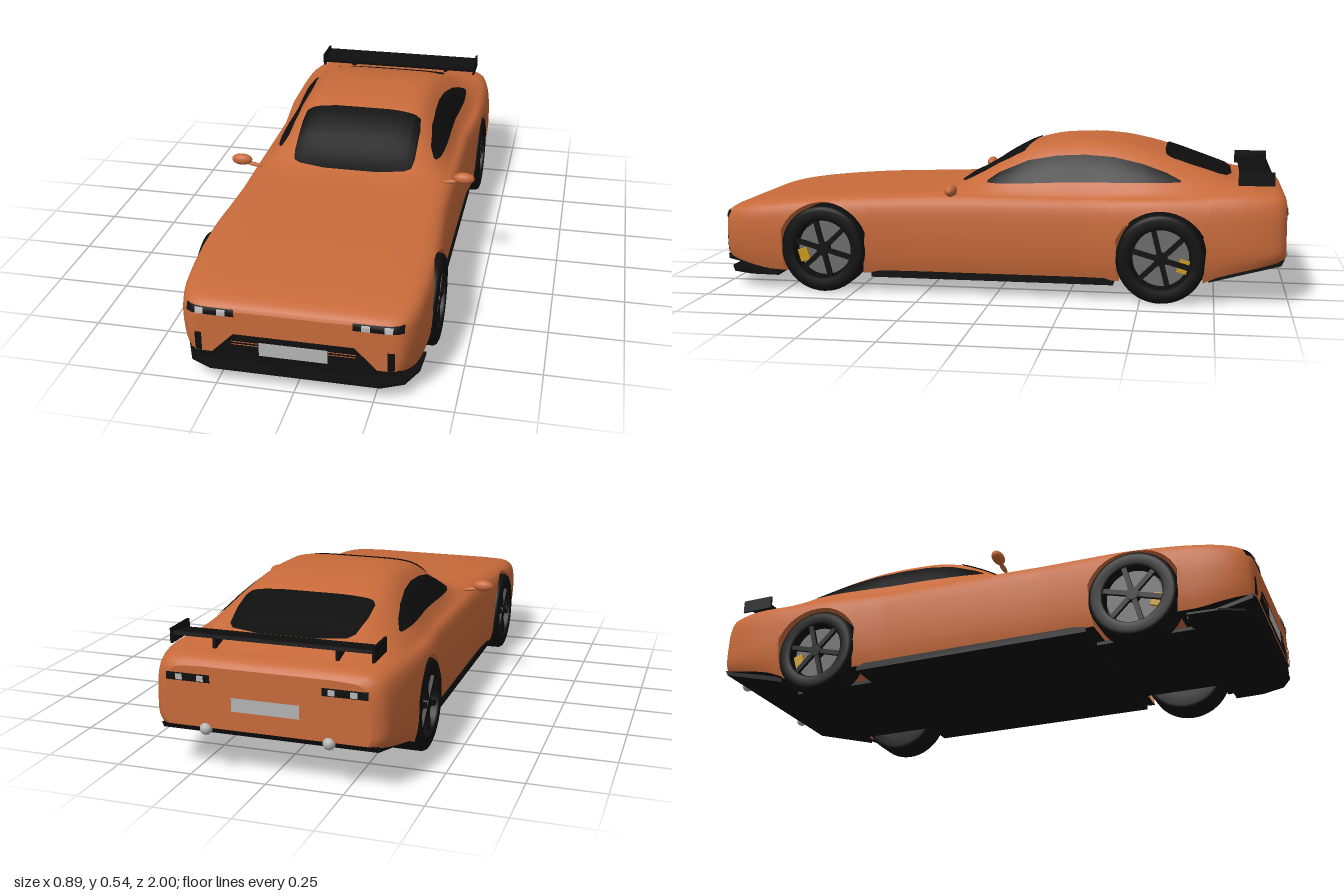
import * as THREE from 'three';

const mat = (name, color) => Object.assign(new THREE.MeshStandardMaterial({ color, side: THREE.DoubleSide }), { name });

// Smooth monotone interpolation through [z, value] pairs sorted by falling z
function track(pts) {
  const p = pts.slice().reverse(), n = p.length;
  const sec = i => (p[i + 1][1] - p[i][1]) / (p[i + 1][0] - p[i][0]);
  const tan = p.map((_, i) => {
    if (i === 0) return sec(0);
    if (i === n - 1) return sec(n - 2);
    const a = sec(i - 1), b = sec(i);
    return a * b <= 0 ? 0 : 2 * a * b / (a + b);
  });
  return z => {
    if (z <= p[0][0]) return p[0][1];
    if (z >= p[n - 1][0]) return p[n - 1][1];
    let i = 0;
    while (z > p[i + 1][0]) i++;
    const h = p[i + 1][0] - p[i][0], t = (z - p[i][0]) / h, t2 = t * t, t3 = t2 * t;
    return (2 * t3 - 3 * t2 + 1) * p[i][1] + (t3 - 2 * t2 + t) * h * tan[i]
      + (3 * t2 - 2 * t3) * p[i + 1][1] + (t3 - t2) * h * tan[i + 1];
  };
}

// Body rules along the length: half width, deck height, roof line, lower edge
const width = track([[.992, .31], [.985, .333], [.965, .352], [.93, .37], [.87, .384], [.75, .394], [.6, .398], [.42, .388],
  [.25, .38], [-.3, .381], [-.42, .392], [-.55, .404], [-.7, .405], [-.82, .4], [-.9, .388], [-.95, .374], [-.975, .355], [-.985, .335]]);
const deck = track([[.992, .262], [.985, .275], [.965, .288], [.93, .299], [.85, .314], [.7, .331], [.5, .345], [.3, .353],
  [.15, .358], [-.3, .365], [-.6, .374], [-.85, .386], [-.94, .379], [-.97, .368], [-.985, .35]]);
const cabin = track([[.24, 0], [.16, .012], [.08, .052], [0, .102], [-.1, .148], [-.2, .167], [-.3, .17], [-.4, .162],
  [-.5, .14], [-.6, .108], [-.7, .066], [-.8, .024], [-.9, 0]]);
const floorY = track([[.992, .112], [.9, .088], [.8, .07], [.7, .068], [-.7, .072], [-.74, .09], [-.97, .15], [-.985, .155]]);
// Half section: [fraction of width, fraction of deck height, fraction of cabin height]
const SECTION = [[1, 0, 0], [.997, .35, 0], [.985, .64, 0], [.95, .85, 0], [.88, .95, 0], [.8, .98, .25], [.72, .99, .52],
  [.63, 1, .76], [.54, 1, .92], [.42, 1, .985], [.22, 1, 1], [0, 1, 1]];
const ARCH_R = .165, WHEEL_Y = .152, FRONT = .61, REAR = -.57, N = 28;

function section(z) {
  const w = width(z), d = deck(z), c = cabin(z), f = floorY(z), mid = .19;
  return new THREE.SplineCurve([
    new THREE.Vector2(w * .955, f), new THREE.Vector2(w * .985, f + (mid - f) * .4),
    ...SECTION.map(([x, dy, g]) => new THREE.Vector2(w * x, mid + dy * (d - mid) + g * c))]);
}

function meshFrom(name, verts, index, material) {
  const g = new THREE.BufferGeometry();
  g.setAttribute('position', new THREE.Float32BufferAttribute(verts, 3));
  g.setIndex(index);
  g.computeVertexNormals();
  const m = new THREE.Mesh(g, material);
  m.name = name;
  return m;
}

// Stations from nose to tail; the lower edge follows each wheel arch
function stations() {
  const s = [], plain = z => s.push({ zb: z, zt: z, yb: 0 });
  const arch = c => {
    for (let i = 0; i <= 28; i++) {
      const k = i / 28, a = -.55 + k * (Math.PI + 1.1);
      s.push({ zb: c + ARCH_R * Math.cos(a), yb: WHEEL_Y + ARCH_R * Math.sin(a), zt: c + .172 * (1 - 2 * k), arch: i < 28 });
    }
  };
  [.992, .989, .985, .976, .965, .95, .93, .9, .87, .84, .81].forEach(plain);
  arch(FRONT);
  for (let z = .42; z > -.39; z -= .02) plain(z);
  arch(REAR);
  [-.76, -.79, -.82, -.85, -.88, -.9, -.92, -.94, -.955, -.965, -.975, -.981, -.985].forEach(plain);
  return s;
}

function buildBody(paint, black) {
  const group = new THREE.Group(), st = stations(), rings = [];
  group.name = 'body';
  for (const { zb, zt, yb } of st) {
    // find where the section reaches the lower edge
    const base = section(zb);
    let lo = 0, hi = .9;
    for (let k = 0; k < 22; k++) {
      const m = (lo + hi) / 2;
      if (base.getPoint(m).y < yb) lo = m; else hi = m;
    }
    const half = [];
    for (let j = 0; j <= N; j++) {
      const z = zb + (zt - zb) * Math.min(1, 2 * j / N), q = section(z).getPoint(lo + (1 - lo) * j / N);
      half.push([q.x, q.y, z]);
    }
    rings.push([...half, ...half.slice(0, N).reverse().map(([x, y, z]) => [-x, y, z])]);
  }
  const M = 2 * N + 1, index = [], under = [], liner = [], lower = [];
  rings.forEach((r, i) => {
    lower.push(...r[0], ...r[M - 1]);
    if (i === rings.length - 1) return;
    for (let j = 0; j < M - 1; j++) {
      const a = i * M + j, b = a + M;
      index.push(a, b, a + 1, a + 1, b, b + 1);
    }
    const l = 2 * i;
    (st[i].arch ? liner : under).push(l, l + 1, l + 2, l + 1, l + 3, l + 2);
  });
  const shell = meshFrom('bodyShell', rings.flat(2), index, paint);
  group.add(shell, meshFrom('underside', lower, under, black), meshFrom('archLiners', lower, liner, paint));
  // nose and tail faces
  [rings[0], rings[rings.length - 1]].forEach((r, i) => {
    const cap = new THREE.Mesh(new THREE.ShapeGeometry(new THREE.Shape(r.map(p => new THREE.Vector2(p[0], p[1])))), paint);
    cap.name = i ? 'tailFace' : 'noseFace';
    cap.position.z = r[0][2];
    if (i) cap.rotation.y = Math.PI;
    group.add(cap);
  });
  group.updateMatrixWorld(true);
  return group;
}

export function createModel() {
  const car = new THREE.Group();
  car.name = 'sportsCar';
  const paint = mat('orange paint', 0xc76a3a), black = mat('black', 0x0e0e0e), grey = mat('rim grey', 0x6c6c6c);
  const light = mat('light grey', 0xb4b4b4), yellow = mat('caliper yellow', 0xc99a1c);
  const body = buildBody(paint, black);
  car.add(body);
  const add = (name, geo, material, x = 0, y = 0, z = 0, parent = car) => {
    const m = new THREE.Mesh(geo, material);
    m.name = name;
    m.position.set(x, y, z);
    parent.add(m);
    return m;
  };
  const box = (w, h, d) => new THREE.BoxGeometry(w, h, d);

  // Thin plates laid on the body: columns are [u, v low, v high], cast from one side
  const caster = new THREE.Raycaster();
  const casts = {
    top: (u, v) => [[u, 2, v], [0, -1, 0]], front: (u, v) => [[u, v, 2], [0, 0, -1]], back: (u, v) => [[u, v, -2], [0, 0, 1]],
    left: (u, v) => [[2, v, u], [-1, 0, 0]], right: (u, v) => [[-2, v, u], [1, 0, 0]]
  };
  function plate(name, cols, side, material, lift = .004, sub = 4, rows = 8) {
    const verts = [], index = [];
    let last = new THREE.Vector3(), count = 0;
    for (let c = 0; c < cols.length; c++) {
      for (let k = 0; k < (c < cols.length - 1 ? sub : 1); k++, count++) {
        const [u, v0, v1] = cols[c].map((q, i) => q + ((cols[c + 1] || cols[c])[i] - q) * k / sub);
        for (let r = 0; r <= rows; r++) {
          const [o, d] = casts[side](u, v0 + (v1 - v0) * r / rows).map(a => new THREE.Vector3(...a));
          caster.set(o, d);
          const hit = caster.intersectObject(body, true)[0];
          if (hit) last = hit.point.clone().addScaledVector(d, -lift);
          verts.push(last.x, last.y, last.z);
          const a = count * (rows + 1) + r, b = a + rows + 1;
          if (r < rows && c < cols.length - 1) index.push(a, b, a + 1, a + 1, b, b + 1);
        }
      }
    }
    // turn the faces towards the side they were cast from
    if (side === 'top' || side === 'left' || side === 'back') index.reverse();
    car.add(meshFrom(name, verts, index, material));
  }
  const mirrored = half => [...half.map(([x, a, b]) => [-x, a, b]), ...half.slice().reverse()];

  // Glass
  plate('windshield', mirrored([[.222, -.03, .09], [.215, -.08, .13], [.19, -.09, .145], [.1, -.098, .16]]), 'top', black, .005);
  plate('rearWindow', mirrored([[.222, -.67, -.6], [.21, -.76, -.58], [.19, -.785, -.575], [.1, -.803, -.57]]), 'top', black, .005);
  const sideGlass = [[.04, .388, .395], [0, .386, .422], [-.1, .39, .464], [-.2, .395, .482], [-.3, .398, .487], [-.4, .4, .481],
    [-.5, .402, .461], [-.58, .404, .435], [-.63, .406, .412]];
  for (const side of ['left', 'right']) plate(side + 'Window', sideGlass, side, black, .005);

  // Nose details
  plate('grille', mirrored([[.26, .112, .114], [.19, .112, .185]]), 'front', black, .003);
  const rect = (x0, x1, y0, y1) => [[x0, y0, y1], [x1, y0, y1]];
  for (const s of [-1, 1]) {
    const r = (a, b, y0, y1) => s > 0 ? rect(a, b, y0, y1) : rect(-b, -a, y0, y1);
    plate('headlight', r(.185, .34, .246, .27), 'front', black, .003, 10, 4);
    plate('noseIntake', r(.292, .314, .115, .18), 'front', black, .003);
    plate('tailLight', r(.18, .325, .3, .325), 'back', black, .003, 10, 4);
    for (const x of [.225, .295]) {
      plate('headlightLens', r(x - .013, x + .013, .248, .268), 'front', light, .006);
      plate('tailLightLens', r(x - .025, x - .003, .303, .322), 'back', light, .006);
    }
    for (const y of [.15, .159]) plate('grilleBar', r(.11, .195, y, y + .003), 'front', paint, .005, 1, 1);
  }
  plate('frontPlate', rect(-.108, .108, .12, .167), 'front', light, .007, 2, 2);
  plate('rearPlate', rect(-.11, .11, .218, .262), 'back', light, .005, 2, 2);

  // Black lower trim, given as side profiles [z, y]
  const sideProfile = (name, pts, w) => {
    const g = new THREE.ExtrudeGeometry(new THREE.Shape(pts.map(([z, y]) => new THREE.Vector2(-z, y))), { depth: w, bevelEnabled: false });
    add(name, g.translate(0, 0, -w / 2).rotateY(Math.PI / 2), black);
  };
  sideProfile('chin', [[.77, .06], [.77, .082], [.985, .113], [.985, .095], [.9, .075]], .66);
  sideProfile('diffuser', [[-.73, .07], [-.97, .135], [-.98, .155], [-.73, .096]], .7);
  add('floorPanel', box(.5, .012, 1.66), black, 0, .063, .11);
  add('sills', box(.745, .024, .85), black, 0, .066, .015);
  const lip = new THREE.Shape([[-.38, .78], [-.375, .88], [-.34, .96], [-.27, .995], [.27, .995], [.34, .96], [.375, .88], [.38, .78]]
    .map(p => new THREE.Vector2(...p)));
  add('splitter', new THREE.ExtrudeGeometry(lip, { depth: .007, bevelEnabled: false }).rotateX(Math.PI / 2), black, 0, .057, 0);

  // Rear wing
  add('wingBlade', box(.65, .012, .105), black, 0, .424, -.883).rotation.x = .15;
  for (const s of [-1, 1]) {
    add('wingEndplate', box(.008, .047, .12), black, s * .325, .424, -.882);
    add('wingStand', box(.012, .05, .055), black, s * .2, .398, -.875);
    add('exhaustTip', new THREE.SphereGeometry(.02, 20, 14), light, s * .2, .15, -.98);
    // Door mirrors
    add('mirror', new THREE.SphereGeometry(1, 24, 16).scale(.038, .021, .02), paint, s * .408, .373, .145);
    add('mirrorStalk', new THREE.SphereGeometry(1, 16, 10).scale(.032, .007, .009), paint, s * .362, .357, .145).rotation.z = s * .15;
  }

  // Wheels, outer face towards local +x
  const tyre = new THREE.LatheGeometry([[.102, -.06], [.136, -.06], [.146, -.056], [.152, -.046], [.152, .046], [.146, .056], [.136, .06],
    [.108, .06], [.102, .054], [.102, -.06]].map(p => new THREE.Vector2(...p)), 48).rotateZ(-Math.PI / 2);
  const drum = (r, h) => new THREE.CylinderGeometry(r, r, h, 40).rotateZ(-Math.PI / 2);
  for (const s of [-1, 1]) for (const [name, z, dir] of [['frontWheel', FRONT, 1], ['rearWheel', REAR, -1]]) {
    const w = new THREE.Group();
    w.name = name;
    w.position.set(s * .342, .152, z);
    if (s < 0) w.rotation.y = Math.PI;
    add('tyre', tyre, black, 0, 0, 0, w);
    add('wheelBack', drum(.103, .05), black, -.025, 0, 0, w);
    add('brakeDisc', drum(.095, .02), grey, .015, 0, 0, w);
    add('hub', drum(.022, .03), black, .04, 0, 0, w);
    const caliper = add('caliper', box(.014, .045, .034), yellow, .03, -.025, s * dir * .075, w);
    caliper.rotation.x = s * dir * .3;
    for (let i = 0; i < 6; i++) {
      const a = i * Math.PI / 3 + .25;
      add('spoke', box(.012, .095, .017), black, .046, Math.cos(a) * .057, Math.sin(a) * .057, w).rotation.x = a;
    }
    car.add(w);
  }
  return car;
}
